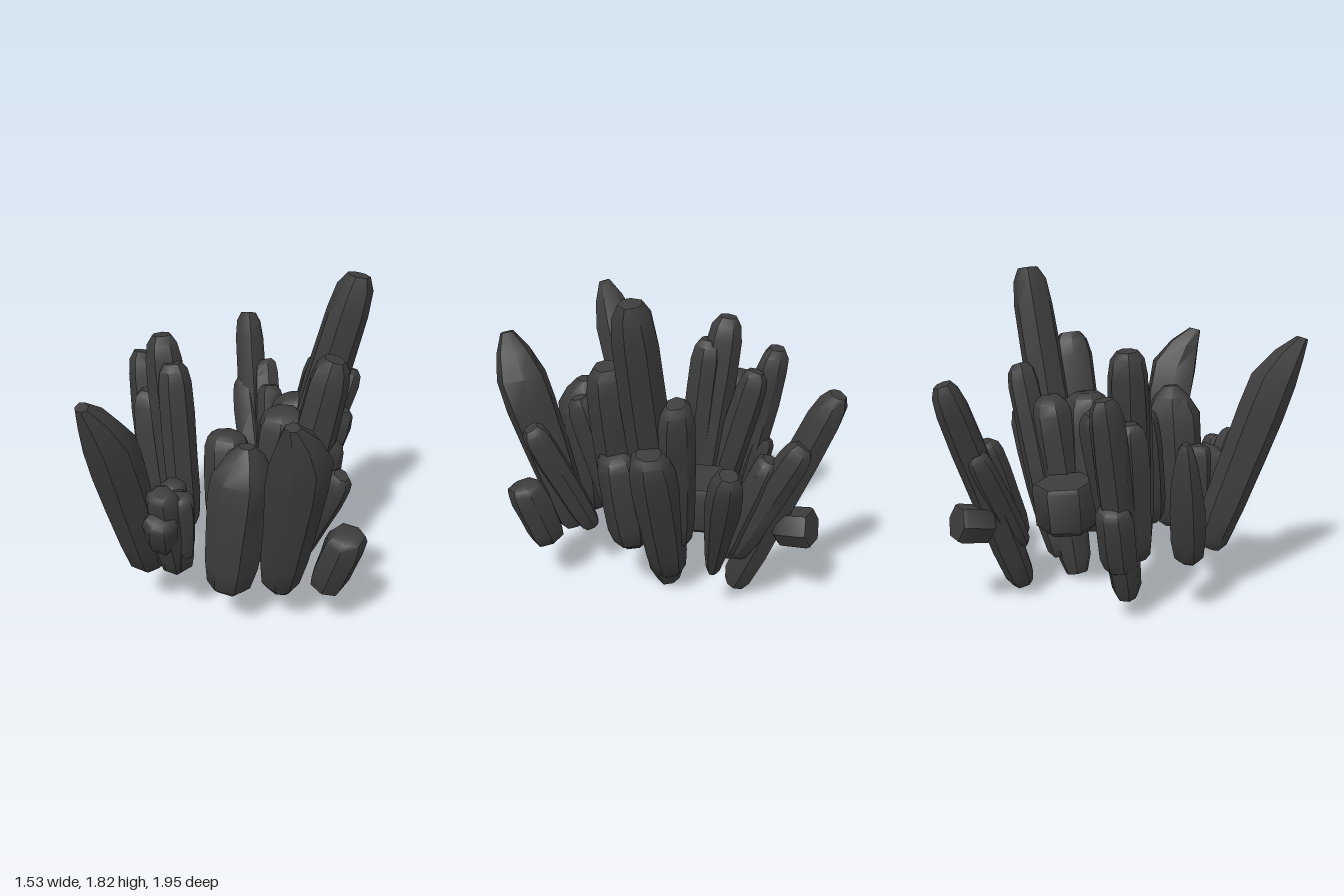
import * as THREE from 'three';
import { toCreasedNormals } from 'three/addons/utils/BufferGeometryUtils.js';

const material = new THREE.MeshStandardMaterial({ color: 0x3c3c3c });

// Profiles: [position along the shaft, radius factor] from base to tip
const PROFILES = {
  blunt: [[0, 0.58], [0.05, 0.84], [0.2, 0.97], [0.45, 1], [0.7, 1], [0.88, 0.95], [0.96, 0.8], [1, 0.5]],
  chisel: [[0, 0.6], [0.04, 0.84], [0.2, 0.97], [0.45, 1], [0.65, 1.02], [0.8, 0.98], [0.92, 0.65], [1, 0.25]],
  point: [[0, 0.58], [0.04, 0.84], [0.2, 0.97], [0.45, 0.98], [0.65, 0.85], [0.82, 0.65], [0.95, 0.42], [1, 0.2]],
  block: [[0, 0.8], [0.1, 0.97], [0.9, 1], [1, 0.92]],
};

function seeded(seed) {
  let s = seed * 7919 + 17;
  return () => (s = (s * 16807) % 2147483647) / 2147483647;
}

// Irregular prism lofted between two points; skew pushes the narrowing tip to the front right
function crystalGeometry(base, tip, radius, baseScale, profile, skew, seed) {
  const rand = seeded(seed), isBlock = profile === 'block', sides = isBlock ? 6 : 7;
  const axis = tip.clone().sub(base).normalize();
  const u = new THREE.Vector3(1, 0, 0).addScaledVector(axis, -axis.x).normalize();
  const v = axis.clone().cross(u);
  const wobble = isBlock ? 0.04 : 0.14;
  const turn = isBlock ? 0 : rand() * 0.9;
  const corners = Array.from({ length: sides }, () => ({ a: (rand() - 0.5) * wobble * 2, r: 1 + (rand() - 0.35) * wobble }));
  const slant = isBlock ? 0 : (rand() - 0.5) * 0.5;
  const pos = [], index = [];
  const rings = PROFILES[profile];
  const centre = new THREE.Vector3();
  rings.forEach(([t, f]) => {
    const shift = t > 0.7 ? (1 - f) * radius * skew : 0;
    centre.lerpVectors(base, tip, t);
    centre.x -= shift;
    centre.z += shift;
    const scale = radius * f * THREE.MathUtils.lerp(baseScale, 1, Math.min(1, t * 1.4));
    corners.forEach((c, j) => {
      const a = turn + c.a + (j / sides) * Math.PI * 2;
      const r = scale * c.r * (1 + (rand() - 0.5) * wobble * 0.45);
      const p = centre.clone().addScaledVector(u, Math.cos(a) * r).addScaledVector(v, Math.sin(a) * r);
      if (t > 0.7) p.addScaledVector(axis, Math.cos(a) * slant * r * 0.8);
      pos.push(p.x, p.y, p.z);
    });
  });
  const last = (rings.length - 1) * sides, low = rings.length * sides;
  pos.push(...base.toArray(), ...centre.toArray());
  for (let j = 0; j < sides; j++) {
    const k = (j + 1) % sides;
    for (let i = 0; i < last; i += sides) {
      index.push(i + j, i + k, i + sides + k, i + j, i + sides + k, i + sides + j);
    }
    index.push(low, k, j, low + 1, last + j, last + k);
  }
  const g = new THREE.BufferGeometry();
  g.setAttribute('position', new THREE.Float32BufferAttribute(pos, 3));
  g.setIndex(index);
  return toCreasedNormals(g, 0.75);
}

// Each crystal: base xyz, tip xyz, radius, base scale, profile, optional skew
const CLUSTERS = {
  tallCluster: [
    [0.2, 0.03, -0.06, 0.65, 1.82, -0.15, 0.122, 0.95, 'blunt'],
    [0.32, 0.28, 0.1, 0.55, 1.43, 0.08, 0.122, 1.1, 'blunt'],
    [0.29, 0.35, -0.18, 0.47, 1.28, -0.29, 0.1, 1, 'blunt'],
    [0.26, 0.13, -0.1, 0.58, 1.02, -0.19, 0.125, 0.9, 'blunt'],
    [0.23, 0.28, 0.07, 0.29, 1.11, 0.06, 0.15, 1, 'blunt'],
    [0.42, 0.36, 0.04, 0.52, 0.95, 0.06, 0.125, 1, 'blunt'],
    [0.26, 0.32, -0.08, 0.33, 1.1, -0.17, 0.13, 1, 'blunt'],
  ],
  shortBlock: [[0.055, 0.38, -0.19, 0.055, 0.66, -0.215, 0.185, 1, 'block']],
  backCluster: [
    [0.11, 0.08, -0.45, -0.03, 1.3, -0.94, 0.09, 1.05, 'blunt'],
    [0.17, 0.32, -0.46, 0.09, 1.03, -0.82, 0.09, 1.1, 'blunt'],
    [0.07, 0.33, -0.48, -0.04, 0.92, -0.78, 0.08, 1, 'blunt'],
    [0.2, 0.32, -0.44, 0.14, 0.93, -0.66, 0.085, 1, 'blunt'],
    [0.04, 0.49, -0.68, 0.03, 0.53, -0.87, 0.11, 1, 'block'],
  ],
  backSliver: [[0.36, 0.29, -0.45, 0.63, 1.06, -0.69, 0.09, 0.45, 'blunt']],
  leftCluster: [
    [-0.29, 0.33, 0.03, -0.41, 1.46, -0.08, 0.108, 1, 'blunt'],
    [-0.47, 0.14, -0.1, -0.585, 1.26, -0.315, 0.095, 1, 'blunt'],
    [-0.35, 0.34, -0.06, -0.42, 1.16, -0.27, 0.1, 1, 'blunt'],
    [-0.27, 0.34, 0.08, -0.34, 1.33, 0.0, 0.1, 1, 'blunt'],
    [-0.45, 0.34, -0.05, -0.5, 1.1, -0.13, 0.11, 1, 'blunt'],
    [-0.5, 0.32, -0.16, -0.56, 0.7, -0.24, 0.1, 1, 'blunt'],
  ],
  leftSpike: [[-0.585, 0.33, 0.215, -0.725, 1.02, 0.08, 0.095, 1, 'point']],
  frontLeftSpire: [[-0.415, 0.31, 0.45, -0.53, 1.48, 0.88, 0.13, 0.9, 'chisel', 0.5]],
  frontLeftCluster: [
    [-0.24, 0.36, 0.54, -0.27, 0.93, 0.72, 0.09, 1, 'blunt'],
    [-0.2, 0.46, 0.57, -0.18, 0.88, 0.66, 0.075, 1, 'blunt'],
    [-0.27, 0.38, 0.48, -0.26, 0.86, 0.48, 0.08, 1, 'blunt'],
    [-0.29, 0.57, 0.63, -0.27, 0.8, 0.76, 0.09, 1, 'blunt'],
    [-0.24, 0.37, 0.54, -0.23, 0.84, 0.6, 0.105, 1, 'blunt'],
  ],
  frontCluster: [
    [0.05, 0.28, 0.57, 0.14, 1.13, 0.55, 0.168, 0.9, 'chisel'],
    [0.035, 0.35, 0.33, 0.0, 1.04, 0.23, 0.13, 1, 'blunt'],
    [0.32, 0.27, 0.52, 0.455, 1.42, 0.82, 0.148, 0.75, 'chisel', 0.6],
    [0.23, 0.35, 0.26, 0.38, 1.13, 0.4, 0.08, 0.9, 'blunt'],
  ],
  frontRightPair: [
    [0.37, 0.33, 0.36, 0.62, 1.0, 0.55, 0.083, 0.9, 'blunt'],
    [0.565, 0.29, 0.51, 0.675, 0.68, 0.58, 0.107, 0.95, 'blunt'],
  ],
};

export function createModel() {
  const model = new THREE.Group();
  model.name = 'crystalCluster';
  let seed = 1;
  for (const [name, rows] of Object.entries(CLUSTERS)) {
    const group = new THREE.Group();
    group.name = name;
    rows.forEach(([x0, y0, z0, x1, y1, z1, r, baseScale, profile, skew = 0], i) => {
      const base = new THREE.Vector3(x0, y0, z0), tip = new THREE.Vector3(x1, y1, z1);
      const mesh = new THREE.Mesh(crystalGeometry(base, tip, r, baseScale, profile, skew, seed++), material);
      mesh.name = `crystal${i + 1}`;
      group.add(mesh);
    });
    model.add(group);
  }
  return model;
}
